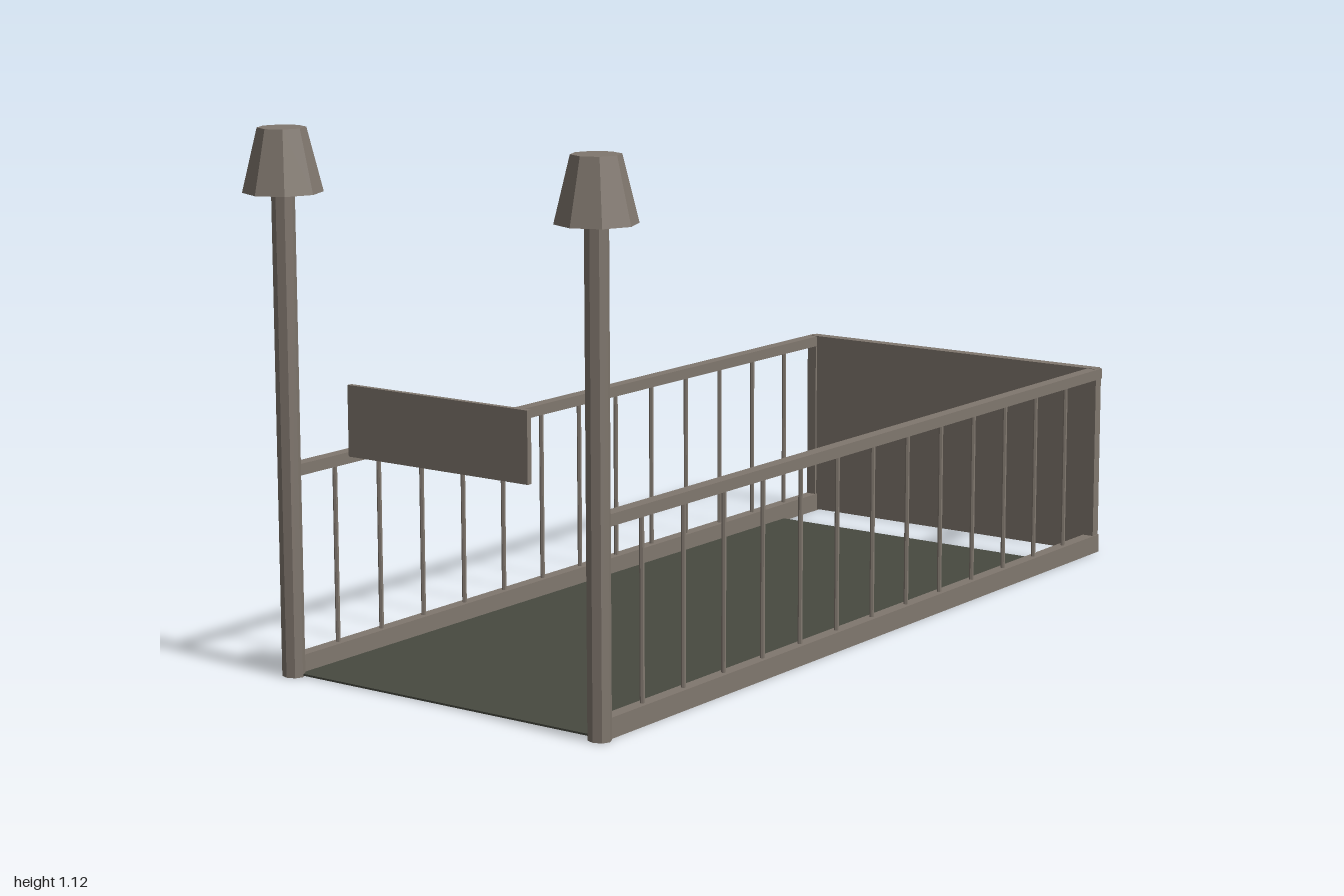
import * as THREE from 'three';

export function createModel() {
  const model = new THREE.Group();
  model.name = 'bedFrame';

  const wood = new THREE.MeshStandardMaterial({ color: 0x80776e, flatShading: true, side: THREE.DoubleSide });
  wood.name = 'weathered wood';
  const dark = new THREE.MeshStandardMaterial({ color: 0x474940, side: THREE.DoubleSide });
  dark.name = 'dark base';

  function add(name, geometry, material, x, y, z) {
    const mesh = new THREE.Mesh(geometry, material);
    mesh.name = name;
    mesh.position.set(x, y, z);
    model.add(mesh);
    return mesh;
  }

  // Box given by its minimum and maximum along each axis
  function box(name, x0, x1, y0, y1, z0, z1, material = wood) {
    return add(name, new THREE.BoxGeometry(x1 - x0, y1 - y0, z1 - z0), material,
      (x0 + x1) / 2, (y0 + y1) / 2, (z0 + z1) / 2);
  }

  // Base sheet, stopping short of the foot end
  box('base', -0.385, 0.385, 0.002, 0.006, -0.83, 0.915, dark);

  // Foot end: solid panel with a cap rail
  box('footPanel', -0.4, 0.4, 0.003, 0.435, -0.992, -0.975);
  box('footRail', -0.4, 0.4, 0.415, 0.441, -1, -0.972);

  // Floating plaque between the tall posts
  box('plaque', -0.228, 0.228, 0.478, 0.623, 0.912, 0.924);

  // Lampshade: tapered, closed on top, open below
  const shadeProfile = [[0.081, 0], [0.049, 0.13], [0, 0.13]].map(([r, y]) => new THREE.Vector2(r, y));
  const shade = new THREE.LatheGeometry(shadeProfile, 8);
  const post = new THREE.CylinderGeometry(0.025, 0.025, 1, 8);
  const baluster = new THREE.CylinderGeometry(0.005, 0.005, 0.38, 6);

  for (const s of [-1, 1]) {
    const side = s > 0 ? 'left' : 'right';
    const x = s * 0.394;

    // Tall lamp post
    add(side + 'Post', post, wood, x, 0.5, 0.919).scale.z = 0.88;
    add(side + 'Lampshade', shade, wood, x, 0.995, 0.919);

    // Side rails and corner post
    box(side + 'BottomRail', x - 0.014, x + 0.014, 0, 0.042, -0.995, 0.915);
    box(side + 'TopRail', x - 0.014, x + 0.014, 0.416, 0.44, -0.995, 0.915);
    box(side + 'FootPost', x - 0.012, x + 0.012, 0.003, 0.435, -0.994, -0.97);

    // Thin balusters along the side
    for (let i = 0; i < 13; i++) {
      add(side + 'Baluster', baluster, wood, x, 0.23, 0.783 - i * 0.136);
    }
  }
  return model;
}
